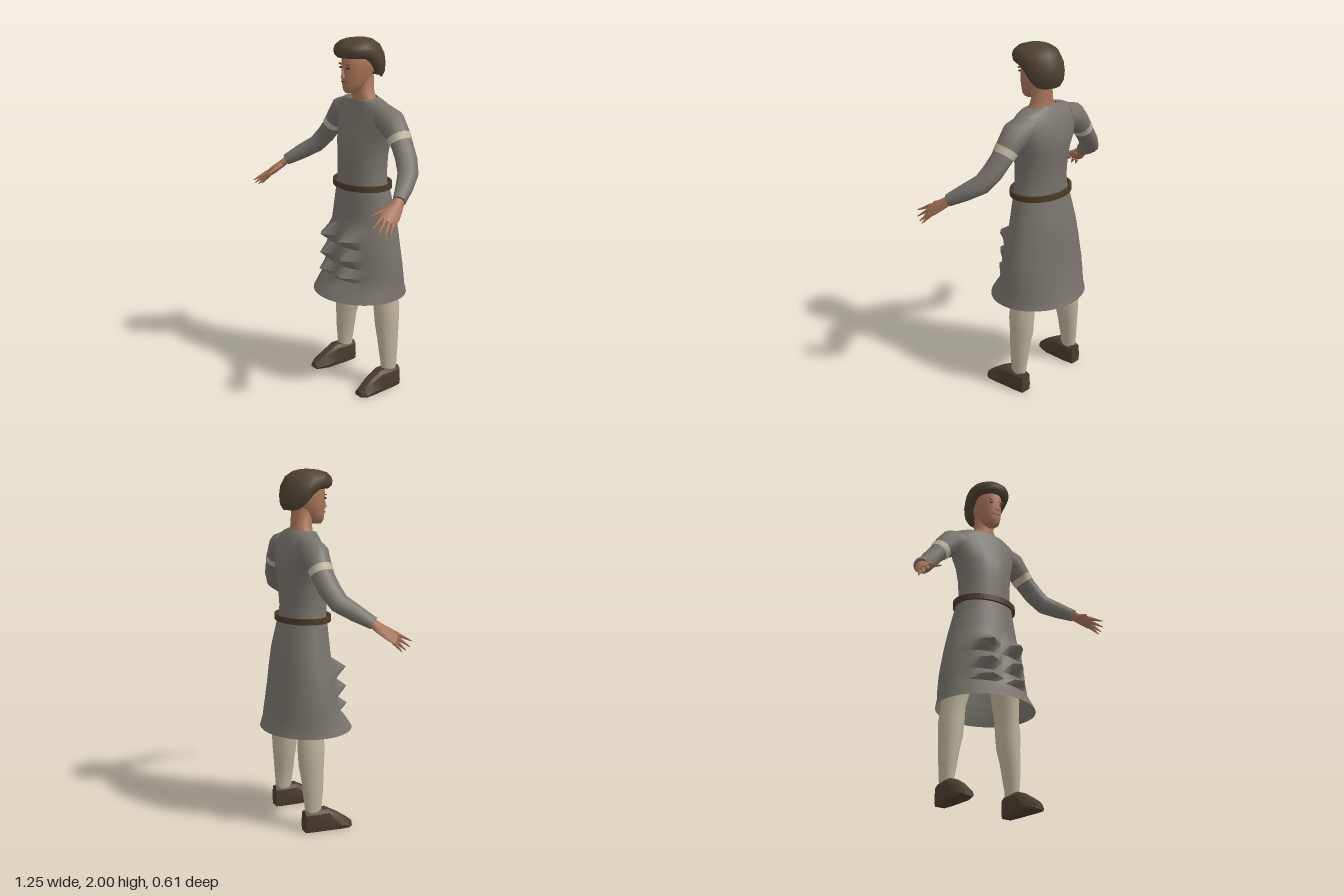
import * as THREE from 'three';
import { toCreasedNormals } from 'three/addons/utils/BufferGeometryUtils.js';

const V = (x, y, z) => new THREE.Vector3(x, y, z);
const TAU = Math.PI * 2;

// Skin a list of equal-sized point rings; rings turn anticlockwise around the direction of travel
function loft(rings, capStart, capEnd, crease = 0.9) {
  const pos = [], idx = [], n = rings[0].length;
  rings.forEach(r => r.forEach(p => pos.push(p.x, p.y, p.z)));
  for (let i = 0; i < rings.length - 1; i++)
    for (let j = 0; j < n; j++) {
      const a = i * n + j, b = i * n + (j + 1) % n, c = a + n, d = b + n;
      idx.push(a, b, d, a, d, c);
    }
  const cap = (row, flip) => {
    const mid = V(0, 0, 0);
    rings[row].forEach(p => mid.addScaledVector(p, 1 / n));
    const k = pos.length / 3;
    pos.push(mid.x, mid.y, mid.z);
    for (let j = 0; j < n; j++) {
      const a = row * n + j, b = row * n + (j + 1) % n;
      flip ? idx.push(k, b, a) : idx.push(k, a, b);
    }
  };
  if (capStart) cap(0, true);
  if (capEnd) cap(rings.length - 1, false);
  const g = new THREE.BufferGeometry();
  g.setAttribute('position', new THREE.Float32BufferAttribute(pos, 3));
  g.setIndex(idx);
  return toCreasedNormals(g, crease);
}

// Horizontal oval ring: height, half width, front z, back z, centre x, forward tilt
function oval(y, rx, zf, zb, cx = 0, tilt = 0, n = 20) {
  const cz = (zf + zb) / 2, rz = (zf - zb) / 2;
  return Array.from({ length: n }, (_, j) => {
    const a = j / n * TAU;
    return V(cx + rx * Math.sin(a), y + tilt * Math.cos(a), cz + rz * Math.cos(a));
  });
}

// Tube along points, each [x, y, z, radius across, radius along the side axis]
function limb(pts, side, n = 12) {
  const c = pts.map(p => V(p[0], p[1], p[2]));
  return pts.map((p, i) => {
    const d = c[Math.min(i + 1, c.length - 1)].clone().sub(c[Math.max(i - 1, 0)]).normalize();
    const v = side.clone().addScaledVector(d, -side.dot(d)).normalize();
    const u = v.clone().cross(d);
    return Array.from({ length: n }, (_, j) => {
      const a = j / n * TAU;
      return c[i].clone().addScaledVector(u, p[3] * Math.cos(a)).addScaledVector(v, p[4] * Math.sin(a));
    });
  });
}

export function createModel() {
  const model = new THREE.Group();
  const mat = (name, color, extra = {}) => new THREE.MeshStandardMaterial({ name, color, ...extra });
  const cloth = mat('greyCloth', 0x77726a, { side: THREE.DoubleSide });
  const cream = mat('creamWool', 0xbcb29c);
  const skin = mat('skin', 0xa87459);
  const lips = mat('darkSkin', 0x7d5040);
  const hairMat = mat('brownHair', 0x4d4131);
  const leather = mat('beltLeather', 0x4b3a28);
  const shoeMat = mat('shoeLeather', 0x4a3d2e);
  const eyeMat = mat('eyeDark', 0x39291f);
  const add = (name, geo, m, parent = model) => {
    const mesh = new THREE.Mesh(geo, m);
    mesh.name = name;
    parent.add(mesh);
    return mesh;
  };

  // Tunic body
  add('tunicBody', loft([
    [1.18, .174, .06, -.192], [1.25, .16, .062, -.19], [1.36, .163, .063, -.198],
    [1.44, .175, .06, -.208], [1.5, .2, .038, -.21], [1.56, .225, .02, -.195],
    [1.615, .24, .003, -.175], [1.645, .2, -.004, -.16], [1.665, .155, -.008, -.148],
  ].map(r => oval(...r)).concat([oval(1.674, .09, -.012, -.136, 0, -.01)])), cloth);

  // Skirt with crumpled folds over both thighs; the last number is the fold depth
  add('skirt', loft([
    [.555, .287, .21, -.305, 0], [.6, .277, .18, -.29, 0], [.66, .272, .13, -.278, 0],
    [.69, .27, .122, -.272, .045], [.735, .267, .11, -.265, .0], [.79, .26, .105, -.257, .055],
    [.845, .25, .1, -.252, 0], [.9, .24, .095, -.247, .065], [.96, .226, .08, -.24, 0],
    [1.02, .212, .075, -.233, 0], [1.1, .194, .068, -.215, 0], [1.19, .175, .06, -.195, 0],
  ].map(([y, rx, zf, zb, fold]) => oval(y, rx, zf, zb, 0, 0, 32).map(p => {
    if (p.z > (zf + zb) / 2) p.z += fold * 1.25 * Math.exp(-(((Math.abs(p.x) - .1) / .06) ** 2));
    return p;
  }))), cloth);

  // Belt standing slightly off the waist
  const beltShape = new THREE.Shape().absellipse(0, 0, .192, .15, 0, TAU);
  beltShape.holes.push(new THREE.Path().absellipse(0, 0, .178, .136, 0, TAU));
  const belt = add('belt', new THREE.ExtrudeGeometry(beltShape, { depth: .033, bevelEnabled: false, curveSegments: 24 }), leather);
  belt.rotation.x = -Math.PI / 2;
  belt.position.set(0, 1.174, -.065);

  // Neck and head
  const head = new THREE.Group();
  head.name = 'head';
  model.add(head);
  add('neck', loft([[1.655, .088, -.016, -.132], [1.68, .08, -.014, -.132], [1.705, .06, -.014, -.13],
    [1.8, .056, 0, -.128]].map(r => oval(...r))), skin, head);
  add('face', loft([[1.705, .026, .045, -.01], [1.722, .044, .058, -.04], [1.755, .058, .062, -.08],
    [1.8, .069, .067, -.12], [1.845, .075, .064, -.145], [1.9, .076, .066, -.15],
    [1.95, .055, .04, -.12]].map(r => oval(...r)), true, true), skin, head);
  const nose = add('nose', new THREE.ConeGeometry(.017, .055, 4), skin, head);
  nose.position.set(0, 1.818, .066);
  add('mouth', new THREE.BoxGeometry(.042, .008, .008), lips, head).position.set(0, 1.768, .06);
  for (const s of [1, -1]) {
    add('eye', new THREE.BoxGeometry(.024, .009, .008), eyeMat, head).position.set(s * .031, 1.843, .055);
    const brow = add('brow', new THREE.BoxGeometry(.034, .007, .009), lips, head);
    brow.position.set(s * .033, 1.862, .056);
    brow.rotation.z = s * .1;
  }

  // Bowl-shaped hair, fringe high in front and low at the nape
  const hemY = z => 1.785 + .113 * THREE.MathUtils.smoothstep(z, -.14, .0);
  add('hair', loft([[.6, .1], [.86, 0], [.97, .14], [1, .36], [.95, .6], [.78, .82], [.5, .95], [.2, 1]]
    .map(([f, h]) => oval(0, .128 * f, -.043 + .148 * f, -.043 - .15 * f).map(p => {
      const low = hemY(p.z);
      p.y = low + (2 - low) * h;
      return p;
    })), true, true), hairMat, head);

  for (const s of [1, -1]) {
    const label = s > 0 ? 'left' : 'right';
    const flip = pts => pts.map(([x, ...rest]) => [s * x, ...rest]);

    // Sleeve and its pale band
    const arm = new THREE.Group();
    arm.name = label + 'Arm';
    model.add(arm);
    const zAxis = V(0, 0, 1);
    add('sleeve', loft(limb(flip([
      [.14, 1.59, -.09, .07, .075], [.225, 1.56, -.092, .08, .078], [.275, 1.515, -.092, .064, .068],
      [.325, 1.455, -.088, .051, .063], [.375, 1.395, -.075, .05, .062], [.428, 1.332, -.045, .047, .058],
      [.485, 1.283, .025, .044, .048], [.537, 1.234, .1, .031, .036],
    ]), zAxis), true, true), cloth, arm);
    add('sleeveBand', loft(limb(flip([
      [.288, 1.499, -.091, .063, .069], [.314, 1.468, -.089, .057, .067],
    ]), zAxis), false, false), cream, arm);

    // Hand with tapering fingers
    const across = V(s * .6, -.45, -.65).normalize();
    add('palm', loft(limb(flip([
      [.53, 1.24, .09, .022, .028], [.55, 1.208, .128, .02, .036],
      [.567, 1.175, .175, .017, .048], [.578, 1.152, .21, .011, .044],
    ]), across, 8), true, true), skin, arm);
    const finger = (name, a, b, r) => {
      const from = V(s * a[0], a[1], a[2]), to = V(s * b[0], b[1], b[2]);
      const dir = to.clone().sub(from);
      const m = add(name, new THREE.CylinderGeometry(.003, r, dir.length(), 6), skin, arm);
      m.position.copy(from).addScaledVector(dir, .5);
      m.quaternion.setFromUnitVectors(V(0, 1, 0), dir.normalize());
    };
    finger('indexFinger', [.553, 1.172, .222], [.58, 1.132, .302], .014);
    finger('middleFinger', [.566, 1.16, .212], [.6, 1.108, .28], .014);
    finger('ringFinger', [.58, 1.148, .2], [.612, 1.093, .25], .013);
    finger('littleFinger', [.592, 1.14, .186], [.62, 1.09, .222], .012);
    finger('thumb', [.535, 1.21, .14], [.503, 1.17, .255], .018);

    // Stockinged leg
    const leg = new THREE.Group();
    leg.name = label + 'Leg';
    model.add(leg);
    add('stocking', loft([
      [.1, .035, -.05, -.145, .215], [.145, .036, -.048, -.148, .215], [.22, .045, -.04, -.155, .21],
      [.3, .053, -.034, -.162, .204], [.38, .063, -.028, -.172, .193], [.47, .069, -.022, -.176, .19],
      [.55, .064, -.022, -.175, .181], [.66, .075, .0, -.175, .165], [.85, .085, .015, -.17, .13],
    ].map(([y, rx, zf, zb, x]) => oval(y, rx, zf, zb, s * x, 0, 14)), true, true), cream, leg);

    // Angular shoe: each row is z, centre x, sole half width, top half width, height
    add('shoe', loft([
      [-.155, .217, .034, .03, .122], [-.1, .217, .044, .044, .127], [-.02, .219, .05, .043, .127],
      [.05, .222, .056, .036, .088], [.1, .23, .048, .03, .055], [.127, .225, .03, .022, .034],
    ].map(([z, x, w, t, h]) => [
      [-w * .85, .004], [w * .85, .004], [w, h * .3], [t, h * .85], [t * .6, h],
      [-t * .6, h], [-t, h * .85], [-w, h * .3],
    ].map(([dx, y]) => V(s * x + dx, y, z))), true, true, .5), shoeMat, leg);
  }
  return model;
}
